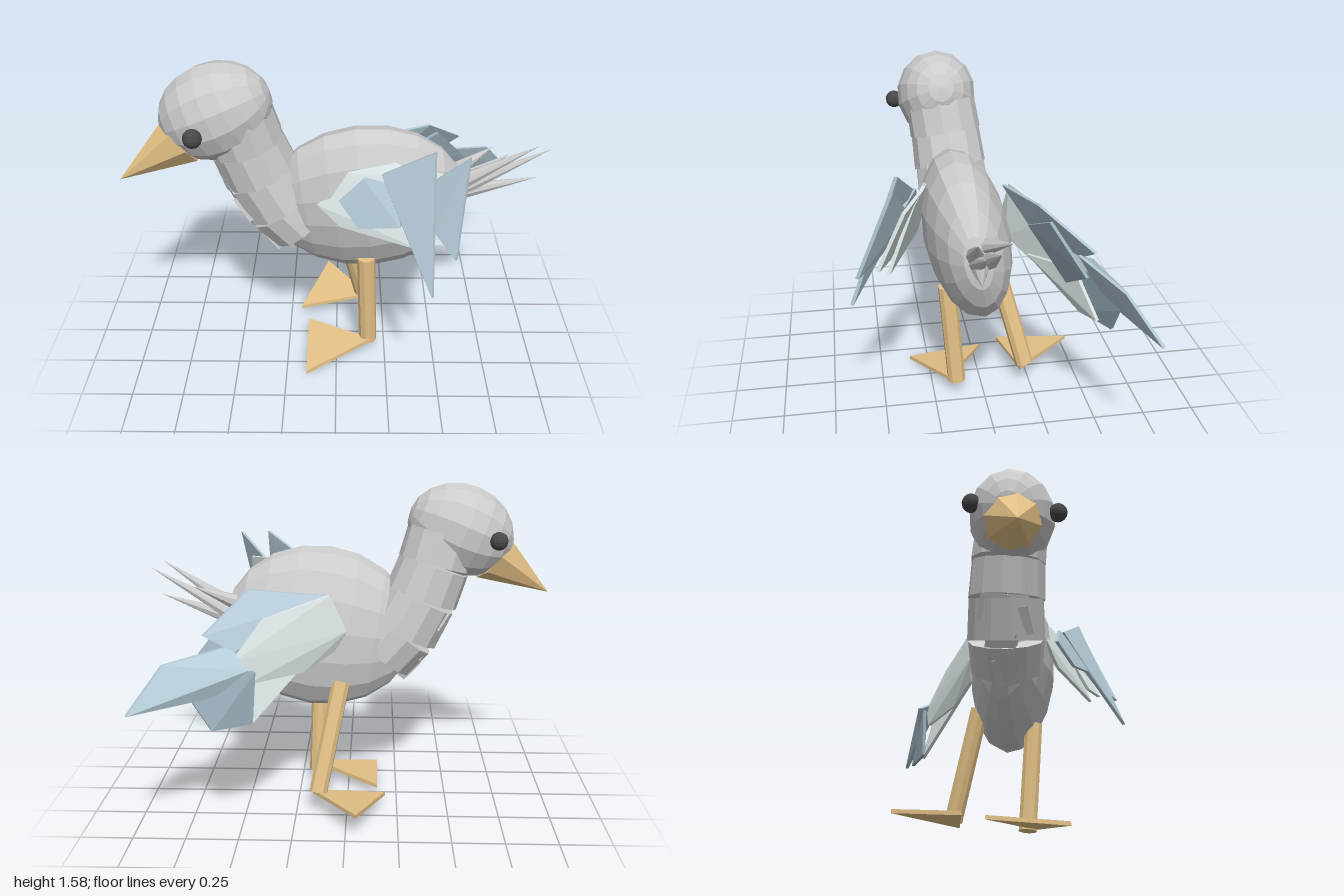
import * as THREE from 'three';
import { ConvexGeometry } from 'three/addons/geometries/ConvexGeometry.js';

const V = (p) => new THREE.Vector3(...p);
const mat = (color) => new THREE.MeshStandardMaterial({ color, flatShading: true, side: THREE.DoubleSide });

export function createModel() {
  const bird = new THREE.Group();
  const grey = mat(0xcccccc), horn = mat(0xe6c388), dark = mat(0x484848);
  const blue = mat(0xb4cad6), pale = mat(0xdfe9e9), slate = mat(0x9db2be);

  const add = (name, geometry, material, parent = bird) => {
    const mesh = new THREE.Mesh(geometry, material);
    mesh.name = name;
    parent.add(mesh);
    return mesh;
  };

  // Faceted ellipsoid with its poles along x
  const ellipsoid = (name, center, radii, rot, segs, rings) => {
    const g = new THREE.SphereGeometry(1, segs, rings).rotateZ(Math.PI / 2).scale(...radii);
    const m = add(name, g, grey);
    m.position.set(...center);
    m.rotation.set(...rot);
  };

  // Tapered cylinder from a to b
  const rod = (name, a, b, ra, rb, sides, material, parent = bird) => {
    const from = V(a), dir = V(b).sub(from);
    const m = add(name, new THREE.CylinderGeometry(rb, ra, dir.length(), sides), material, parent);
    m.position.copy(from).addScaledVector(dir, 0.5);
    m.quaternion.setFromUnitVectors(new THREE.Vector3(0, 1, 0), dir.normalize());
  };

  // Thin solid plate: corner points plus the same points shifted
  const plate = (name, points, shift, material, parent = bird) => {
    const pts = points.flatMap((p) => [V(p), V(p).add(V(shift))]);
    add(name, new ConvexGeometry(pts), material, parent);
  };

  // Body and head
  ellipsoid('body', [0.14, 0.885, 0.078], [0.475, 0.4, 0.202], [0.16, 0, 0.14], 16, 10);
  ellipsoid('head', [-0.545, 1.362, 0.13], [0.265, 0.222, 0.202], [0, 0, 0.4], 14, 10);

  // Neck of overlapping rings
  const neck = new THREE.Group();
  neck.name = 'neck';
  bird.add(neck);
  const spine = [
    [-0.46, 1.35, 0.12, 0.175], [-0.42, 1.2, 0.1, 0.175], [-0.36, 1.04, 0.085, 0.178],
    [-0.27, 0.87, 0.075, 0.18], [-0.17, 0.75, 0.07, 0.165],
  ];
  for (let i = 0; i < spine.length - 1; i++) {
    const [a, b] = [spine[i], spine[i + 1]];
    rod('neckRing', a.slice(0, 3), b.slice(0, 3), a[3], b[3] + 0.005, 12, grey, neck);
  }
  // Ruffled throat feathers
  [[-0.48, 1.02, 0.12], [-0.45, 0.95, 0.04], [-0.42, 0.88, 0.13], [-0.37, 0.79, 0.06], [-0.3, 0.7, 0.09]]
    .forEach((p, i) => {
      const m = add('throatFeather', new THREE.BoxGeometry(0.06, 0.13, 0.14), grey, neck);
      m.position.set(...p);
      m.rotation.set(i % 2 ? 0.25 : -0.2, 0, 0.5 + 0.05 * i);
    });

  // Beak and eyes
  rod('beak', [-0.7, 1.24, 0.145], [-1, 1.04, 0.19], 0.133, 0, 8, horn);
  for (const p of [[-0.62, 1.325, 0.345], [-0.71, 1.34, -0.04]]) {
    add('eye', new THREE.SphereGeometry(0.043, 14, 10), dark).position.set(...p);
  }

  // Legs and webbed feet
  rod('leftLeg', [0.145, 0.605, 0.172], [0.163, 0.07, 0.133], 0.045, 0.045, 10, horn);
  rod('rightLeg', [0.03, 0.65, -0.085], [0.14, 0.12, -0.222], 0.045, 0.045, 10, horn);
  plate('leftFoot', [[0.18, 0.08, 0.175], [-0.15, 0.005, 0.345], [-0.15, 0.045, -0.035]], [0, 0.02, 0], horn);
  plate('rightFoot', [[0.17, 0.095, -0.195], [-0.05, 0.115, -0.485], [-0.19, 0.055, -0.135]], [0, 0.02, 0], horn);

  // Tail spikes
  const tail = new THREE.Group();
  tail.name = 'tail';
  bird.add(tail);
  [
    [[0.56, 0.97, 0.1], [0.93, 1.2, 0.145]],
    [[0.56, 0.93, 0.09], [0.99, 1.17, 0.12]],
    [[0.57, 0.92, 0.08], [0.94, 1.03, 0.13]],
    [[0.55, 1.01, 0.05], [0.75, 1.11, -0.03]],
    [[0.57, 0.95, 0.04], [0.82, 1.1, 0.03]],
  ].forEach(([base, tip]) => rod('tailSpike', base, tip, 0.042, 0, 8, grey, tail));

  // Wing on the -z side, spread backward
  const rightWing = new THREE.Group();
  rightWing.name = 'rightWing';
  bird.add(rightWing);
  [
    [blue, [[0.07, 1.09, -0.12], [0.45, 1.14, -0.21], [0.63, 0.98, -0.42], [0.5, 0.9, -0.4], [0.25, 0.95, -0.22]]],
    [pale, [[0, 0.92, -0.13], [0.08, 1.1, -0.15], [0.37, 1.03, -0.32], [0.5, 0.865, -0.44], [0.45, 0.75, -0.42], [0.2, 0.75, -0.24], [0.06, 0.82, -0.14]]],
    [blue, [[0.94, 0.68, -0.64], [0.8, 0.87, -0.51], [0.52, 0.92, -0.38], [0.42, 0.84, -0.47], [0.58, 0.72, -0.5]]],
    [slate, [[0.59, 0.57, -0.53], [0.42, 0.57, -0.44], [0.4, 0.82, -0.44], [0.6, 0.84, -0.48], [0.68, 0.72, -0.53]]],
    [pale, [[0.42, 0.57, -0.43], [0.56, 0.6, -0.47], [0.45, 0.82, -0.38], [0.2, 0.78, -0.22]]],
    [slate, [[0.3, 0.98, -0.2], [0.5, 1.08, -0.25], [0.66, 0.88, -0.38], [0.45, 0.75, -0.35]]],
  ].forEach(([m, pts]) => plate('wingFeather', pts, [0.01, 0, 0.015], m, rightWing));

  // Wing on the +z side, fanned out
  const leftWing = new THREE.Group();
  leftWing.name = 'leftWing';
  bird.add(leftWing);
  [
    [pale, [[-0.09, 0.95, 0.26], [0.05, 1.12, 0.26], [0.25, 1.18, 0.29], [0.37, 1.14, 0.35], [0.4, 0.83, 0.47], [0.02, 0.86, 0.31]]],
    [blue, [[0.01, 1, 0.31], [0.12, 1.12, 0.32], [0.3, 1.1, 0.39], [0.28, 0.95, 0.46], [0.1, 0.9, 0.39]]],
    [blue, [[0.42, 1.3, 0.42], [0.2, 1.15, 0.34], [0.3, 0.94, 0.47], [0.42, 0.7, 0.64]]],
    [pale, [[0.27, 1.17, 0.3], [0.51, 1.17, 0.4], [0.5, 0.9, 0.52], [0.33, 0.87, 0.46]]],
    [blue, [[0.565, 1.29, 0.45], [0.41, 1.13, 0.38], [0.43, 0.95, 0.5], [0.515, 0.88, 0.61]]],
  ].forEach(([m, pts]) => plate('wingFeather', pts, [0.01, 0, -0.015], m, leftWing));

  return bird;
}
